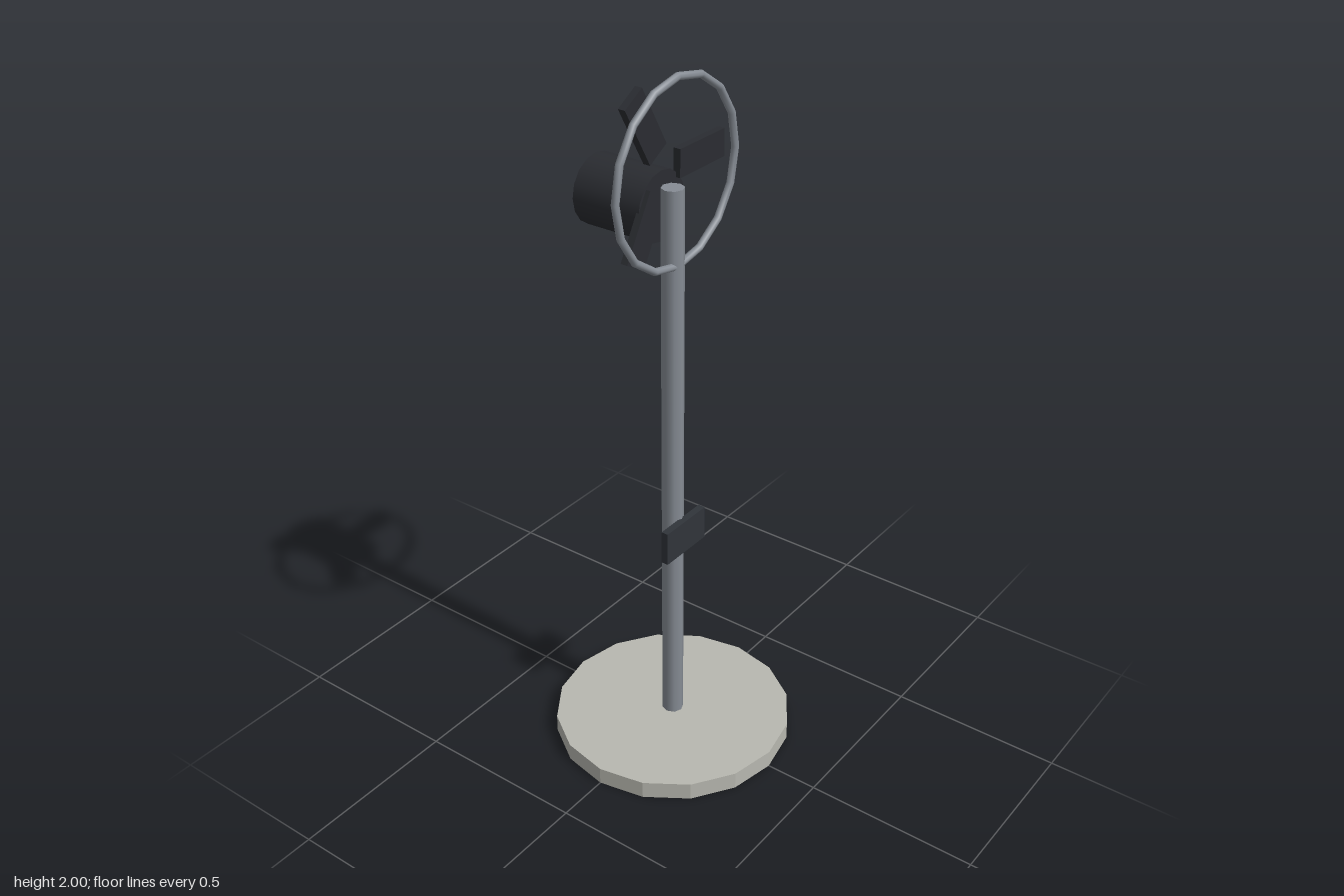
import * as THREE from 'three';

const material = (color) => new THREE.MeshStandardMaterial({ color });

export function createModel() {
  const model = new THREE.Group();
  model.name = 'pedestalFan';

  const stone = material(0xb8b8b0);
  stone.flatShading = true;
  const steel = material(0x868c94);
  const dark = material(0x2a2c31);
  const slate = material(0x30343a);

  const add = (name, geometry, mat, x, y, z, parent = model) => {
    const mesh = new THREE.Mesh(geometry, mat);
    mesh.name = name;
    mesh.position.set(x, y, z);
    parent.add(mesh);
    return mesh;
  };

  // Stand: sixteen-sided foot and slim pole
  add('base', new THREE.CylinderGeometry(0.347, 0.347, 0.052, 16), stone, 0, 0.026, 0);
  add('pole', new THREE.CylinderGeometry(0.031, 0.031, 1.652, 8), steel, 0, 0.878, 0);

  // Control box on the front of the pole
  add('controlBox', new THREE.BoxGeometry(0.173, 0.1, 0.021), slate, 0, 0.682, 0.0365);

  // Motor housing behind the blades, lying along z
  const motor = new THREE.CylinderGeometry(0.096, 0.096, 0.21, 16).rotateX(Math.PI / 2);
  add('motor', motor, dark, 0, 1.645, -0.14);

  // Guard ring in front of the blades
  const hubY = 1.742;
  add('guardRing', new THREE.TorusGeometry(0.248, 0.0105, 8, 16), steel, 0, hubY, 0.015);

  // Three flat blades around the hub
  const blades = new THREE.Group();
  blades.name = 'blades';
  blades.position.set(0, hubY, -0.032);
  model.add(blades);
  const bladeGeometry = new THREE.BoxGeometry(0.192, 0.077, 0.021).translate(0.156, 0, 0);
  for (let i = 0; i < 3; i++) {
    add('blade', bladeGeometry, dark, 0, 0, 0, blades).rotation.z = (i * Math.PI * 2) / 3;
  }

  return model;
}
